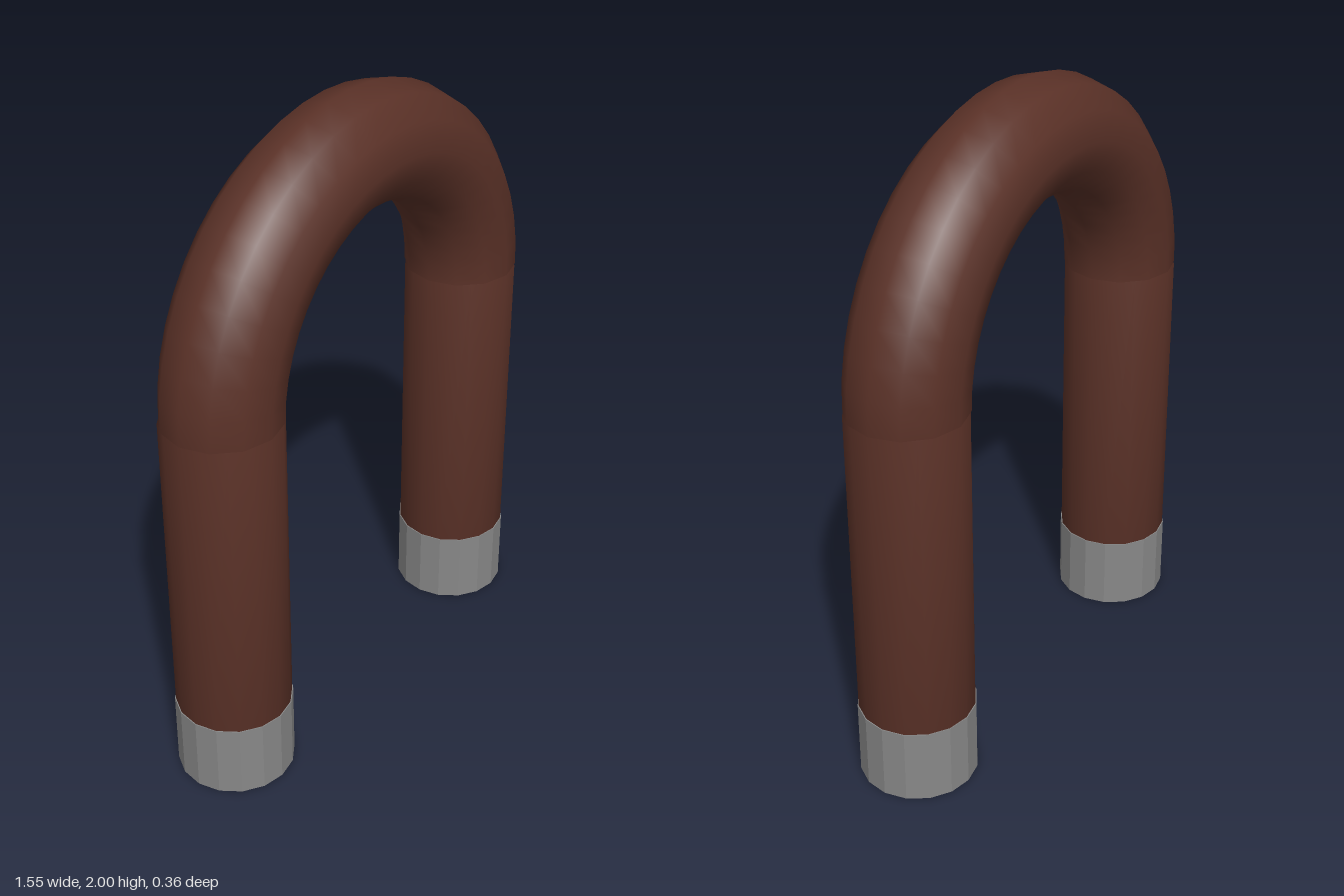
import * as THREE from 'three';
import { mergeVertices } from 'three/addons/utils/BufferGeometryUtils.js';

const ARCH_RADIUS = 0.593, TUBE_RADIUS = 0.178, ARCH_Y = 1.229, CAP_HEIGHT = 0.24;

// Cylinder whose normals blend over its end rims
function softCylinder(radius, height, sides) {
  const g = new THREE.CylinderGeometry(radius, radius, height, sides);
  g.deleteAttribute('normal');
  g.deleteAttribute('uv');
  const merged = mergeVertices(g);
  merged.computeVertexNormals();
  return merged;
}

export function createModel() {
  const group = new THREE.Group();
  const brown = new THREE.MeshStandardMaterial({ color: 0x5a3127 });
  brown.name = 'dark reddish brown';
  const grey = new THREE.MeshStandardMaterial({ color: 0x888888, flatShading: true });
  grey.name = 'steel grey';

  const add = (name, geometry, material, x, y) => {
    const mesh = new THREE.Mesh(geometry, material);
    mesh.name = name;
    mesh.position.set(x, y, 0);
    group.add(mesh);
  };

  // Half-ring joining the two legs
  add('arch', new THREE.TorusGeometry(ARCH_RADIUS, TUBE_RADIUS, 12, 24, Math.PI), brown, 0, ARCH_Y);

  // Straight legs with grey pole caps
  const legHeight = ARCH_Y - CAP_HEIGHT;
  const legGeometry = softCylinder(TUBE_RADIUS, legHeight, 16);
  const capGeometry = new THREE.CylinderGeometry(0.181, 0.181, CAP_HEIGHT, 16);
  for (const [side, sign] of [['left', 1], ['right', -1]]) {
    add(side + 'Leg', legGeometry, brown, sign * ARCH_RADIUS, CAP_HEIGHT + legHeight / 2);
    add(side + 'PoleCap', capGeometry, grey, sign * ARCH_RADIUS, CAP_HEIGHT / 2);
  }
  return group;
}
